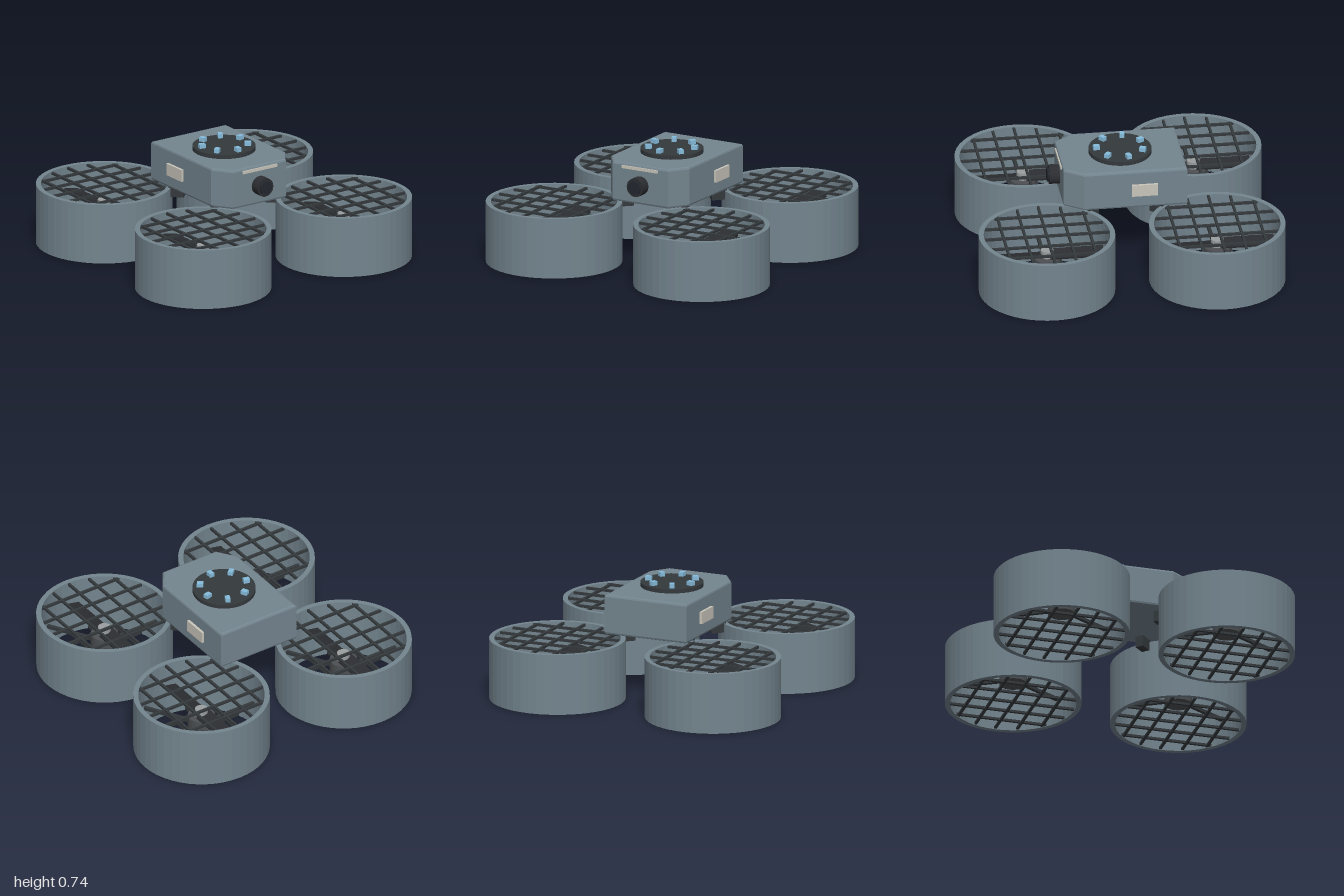
import * as THREE from 'three';

const paint = (color, flatShading = false) =>
  new THREE.MeshStandardMaterial({ color, flatShading });
const shell = paint(0x74858f, true);
const dark = paint(0x34393c, true);
const black = paint(0x2b2d31, true);
const hubGrey = paint(0x4c4f52);
const capGrey = paint(0x9a9e9e);
const beige = paint(0xc8c5ba);
const blue = paint(0x86bcdc);

function add(parent, name, geometry, material, x = 0, y = 0, z = 0) {
  const mesh = new THREE.Mesh(geometry, material);
  mesh.name = name;
  mesh.position.set(x, y, z);
  parent.add(mesh);
  return mesh;
}
const box = (w, h, d) => new THREE.BoxGeometry(w, h, d);
const disc = (r, h, n = 32) => new THREE.CylinderGeometry(r, r, h, n);

// Square-mesh guard clipped to the inside of a duct
function createGrille(y) {
  const grille = new THREE.Group();
  grille.name = 'guardGrille';
  for (let i = -2; i <= 2; i++) {
    const offset = i * 0.141;
    const length = 2 * Math.sqrt(0.418 ** 2 - offset ** 2);
    add(grille, 'grilleBarAcross', box(length, 0.016, 0.016), dark, 0, y, offset);
    add(grille, 'grilleBarAlong', box(0.016, 0.016, length), dark, offset, y, 0);
  }
  return grille;
}

function createRotor() {
  const rotor = new THREE.Group();
  rotor.name = 'ductedRotor';

  // Open ring with square rims
  const ring = [[0.41, 0], [0.443, 0], [0.443, 0.4], [0.41, 0.4], [0.41, 0]];
  add(rotor, 'duct', new THREE.LatheGeometry(ring.map(p => new THREE.Vector2(...p)), 48), shell);
  rotor.add(createGrille(0.388), createGrille(0.012));

  // Motor on three struts
  add(rotor, 'motor', disc(0.09, 0.1), hubGrey, 0, 0.19, 0);
  for (let i = 0; i < 3; i++) {
    const a = Math.PI / 2 + i * Math.PI * 2 / 3;
    const strut = add(rotor, 'motorStrut', box(0.36, 0.022, 0.022), dark,
      Math.cos(a) * 0.24, 0.17, Math.sin(a) * 0.24);
    strut.rotation.y = -a;
  }

  // Two pitched blades and the hub cap
  for (const s of [-1, 1]) {
    const blade = add(rotor, 'blade', box(0.355, 0.012, 0.105), black, s * 0.195, 0.255, 0);
    blade.rotation.x = s * 0.2;
  }
  add(rotor, 'hubCap', disc(0.042, 0.06, 24), capGrey, 0, 0.26, 0);
  return rotor;
}

function createBody() {
  const body = new THREE.Group();
  body.name = 'body';

  // Hull with clipped nose corners and bevelled edges
  const b = 0.015;
  const outline = [[-0.4 + b, -0.295 + b], [0.27, -0.295 + b], [0.4 - b, -0.2],
    [0.4 - b, 0.2], [0.27, 0.295 - b], [-0.4 + b, 0.295 - b]];
  const hull = new THREE.ExtrudeGeometry(
    new THREE.Shape(outline.map(p => new THREE.Vector2(...p))),
    { depth: 0.265 - 2 * b, bevelSize: b, bevelThickness: b, bevelSegments: 2 });
  hull.rotateX(-Math.PI / 2);
  add(body, 'hull', hull, shell, 0, 0.415 + b, 0);

  // Top turntable with a ring of lights
  add(body, 'topDisc', disc(0.205, 0.03, 40), dark, 0, 0.692, 0);
  for (let i = 0; i < 7; i++) {
    const a = i * Math.PI * 2 / 7;
    const light = add(body, 'topLight', box(0.042, 0.03, 0.032), blue,
      Math.cos(a) * 0.155, 0.72, Math.sin(a) * 0.155);
    light.rotation.y = -a;
  }

  // Side plates and nose strip
  for (const s of [-1, 1])
    add(body, 'sidePlate', box(0.17, 0.08, 0.03), beige, -0.12, 0.545, s * 0.298);
  add(body, 'noseStrip', box(0.02, 0.02, 0.27), beige, 0.398, 0.655, 0);

  // Camera
  const barrel = add(body, 'cameraBarrel', disc(0.062, 0.085, 24), black, 0.425, 0.545, 0);
  const lens = add(body, 'cameraLens', disc(0.045, 0.03, 24), paint(0x23282f), 0.464, 0.545, 0);
  barrel.rotation.z = lens.rotation.z = -Math.PI / 2;
  return body;
}

export function createModel() {
  const model = new THREE.Group();
  model.name = 'quadcopter';
  model.add(createBody());

  for (const sx of [-1, 1]) {
    for (const sz of [-1, 1]) {
      const rotor = createRotor();
      rotor.position.set(sx * 0.557, 0, sz * 0.557);
      model.add(rotor);

      // Short diagonal arm joining hull and duct
      const arm = add(model, 'arm', box(0.1, 0.08, 0.055), dark, sx * 0.22, 0.38, sz * 0.22);
      arm.rotation.y = -sx * sz * Math.PI / 4;
    }
  }
  return model;
}
